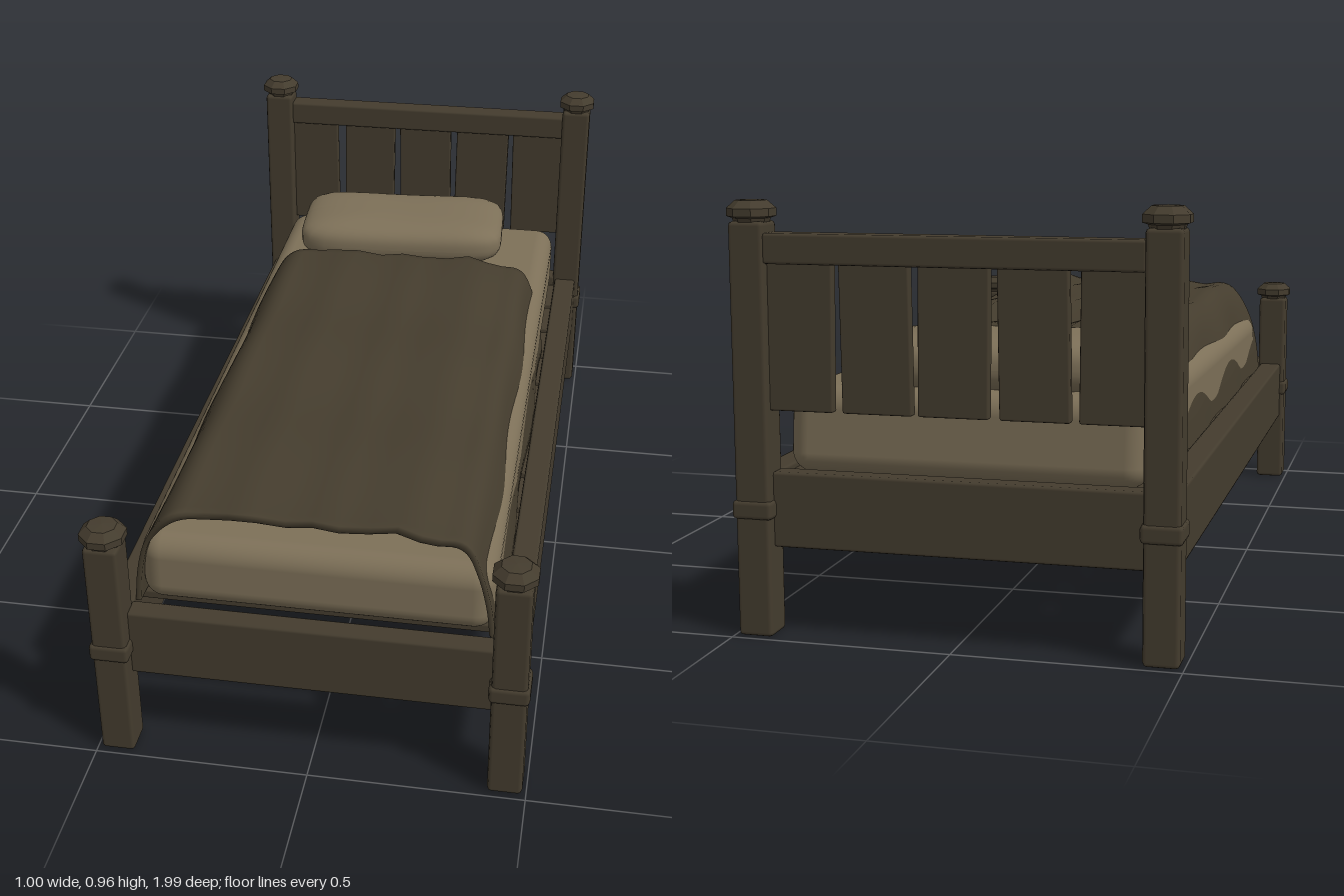
import * as THREE from 'three';
import { RoundedBoxGeometry } from 'three/addons/geometries/RoundedBoxGeometry.js';
import { ParametricGeometry } from 'three/addons/geometries/ParametricGeometry.js';

const material = (name, color, options = {}) => {
  const m = new THREE.MeshStandardMaterial({ color, ...options });
  m.name = name;
  return m;
};

export function createModel() {
  const bed = new THREE.Group();
  bed.name = 'bed';
  const wood = material('dark wood', 0x443c2e);
  const linen = material('linen', 0x7d7058);
  const wool = material('blanket wool', 0x453d2e, { side: THREE.DoubleSide });

  const add = (name, geometry, mat, x = 0, y = 0, z = 0) => {
    const mesh = new THREE.Mesh(geometry, mat);
    mesh.name = name;
    mesh.position.set(x, y, z);
    bed.add(mesh);
    return mesh;
  };
  // Move every vertex of a geometry by a rule
  const deform = (geometry, rule) => {
    const p = geometry.attributes.position;
    const v = new THREE.Vector3();
    for (let i = 0; i < p.count; i++) {
      rule(v.fromBufferAttribute(p, i));
      p.setXYZ(i, v.x, v.y, v.z);
    }
    return geometry;
  };
  // Timber with chamfered edges
  const beam = (name, w, h, d, x, y, z, bevel = 0.007) =>
    add(name, new RoundedBoxGeometry(w, h, d, 1, bevel), wood, x, y, z);

  // Eight-sided faceted cap, with its base at y = 0
  const capProfile = [[0, -0.012], [0.037, -0.012], [0.041, 0], [0.053, 0.004],
    [0.053, 0.021], [0.034, 0.038], [0, 0.04]].map(([r, y]) => new THREE.Vector2(r, y));
  const capGeometry = new THREE.LatheGeometry(capProfile, 8).rotateY(Math.PI / 8).toNonIndexed();
  capGeometry.computeVertexNormals();

  // Corner posts with collars and caps
  for (const [end, z, height] of [['head', -0.947, 0.91], ['foot', 0.947, 0.567]]) {
    for (const [side, x] of [['Left', 0.451], ['Right', -0.451]]) {
      beam(end + side + 'Post', 0.08, height, 0.08, x, height / 2, z, 0.01);
      beam(end + side + 'Collar', 0.092, 0.042, 0.092, x, 0.284, z, 0.01);
      add(end + side + 'Cap', capGeometry, wood, x, height + 0.006, z);
    }
  }

  // Bed frame rails
  for (const [side, x] of [['left', 0.448], ['right', -0.448]]) {
    beam(side + 'SideRail', 0.062, 0.168, 1.83, x, 0.276, 0);
  }
  beam('footRail', 0.83, 0.168, 0.052, 0, 0.292, 0.926);
  beam('headLowerRail', 0.83, 0.168, 0.052, 0, 0.282, -0.935);

  // Headboard: top rail and five planks with slightly uneven edges
  beam('headTopRail', 0.83, 0.066, 0.06, 0, 0.853, -0.952);
  const planks = [[-0.415, -0.274], [-0.252, -0.099], [-0.08, 0.076], [0.092, 0.249], [0.266, 0.415]];
  planks.forEach(([a, b], i) => {
    const geometry = deform(new RoundedBoxGeometry(b - a, 0.34, 0.026, 1, 0.005), (v) => {
      v.x += (i % 2 ? 1 : -1) * 0.012 * v.y;
    });
    add('headPlank', geometry, wood, (a + b) / 2, 0.672, -0.952);
  });

  // Slats under the mattress
  for (let i = 0; i < 11; i++) {
    beam('slat', 0.85, 0.022, 0.14, 0, 0.335, -0.825 + i * 0.158, 0.005);
  }

  // Mattress, a little lower toward the foot
  const mattress = deform(new RoundedBoxGeometry(0.808, 0.185, 1.775, 5, 0.05), (v) => {
    if (v.y > 0) v.y -= v.z * 0.014;
    if (v.y > 0.03 && v.z < 0) v.z += 0.01;
  });
  add('mattress', mattress, linen, 0, 0.441, -0.017);

  // Pillow: a sphere squared off into a cushion, dipped along the middle
  const pillow = deform(new THREE.SphereGeometry(1, 48, 32), (v) => {
    const k = (Math.sqrt(v.x ** 6 + v.z ** 6) + Math.abs(v.y) ** 3) ** (-1 / 3);
    v.multiplyScalar(k);
    const dip = v.y > 0 ? 0.009 * (1 - v.x * v.x) : 0;
    v.set(v.x * 0.296, v.y * 0.07 - dip, v.z * 0.158);
  });
  pillow.computeVertexNormals();
  add('pillow', pillow, linen, -0.035, 0.6, -0.708).rotation.y = 0.06;

  // Blanket: an arched, rippled sheet with thickness, swept along the bed
  const half = [[-0.413, 0.35], [-0.402, 0.44], [-0.38, 0.52], [-0.345, 0.585], [-0.28, 0.618]];
  const points = [...half, [0, 0.622], ...half.map(([x, y]) => [-x, y]).reverse()];
  const arch = new THREE.CatmullRomCurve3(points.map(([x, y]) => new THREE.Vector3(x, y, 0)));
  const blanket = new ParametricGeometry((u, v, target) => {
    const inner = u > 0.5;
    const p = arch.getPoint(inner ? 2 - 2 * u : 2 * u);
    const closed = v < 0.001 || v > 0.999; // end rows meet to close the hem
    const t = closed ? 0.5 : inner ? 1 : 0;
    const along = THREE.MathUtils.clamp((v * 64 - 1) / 62, 0, 1);
    const z = -0.458 + along * 1.335;
    const top = THREE.MathUtils.smoothstep(p.y, 0.5, 0.62);
    const ripple = 0.009 * Math.sin(p.x * 37 + 0.6) * top + 0.005 * Math.sin(z * 13) * top;
    const sway = 0.005 * Math.sin(z * 11 + p.x * 5) * (1 - top) * Math.sign(p.x);
    target.set(p.x * (1 - 0.03 * t) + sway, p.y + ripple - 0.018 * t * top,
      z + 0.01 * Math.sin(p.x * 34));
  }, 96, 64);
  blanket.computeVertexNormals();
  add('blanket', blanket, wool);

  return bed;
}
